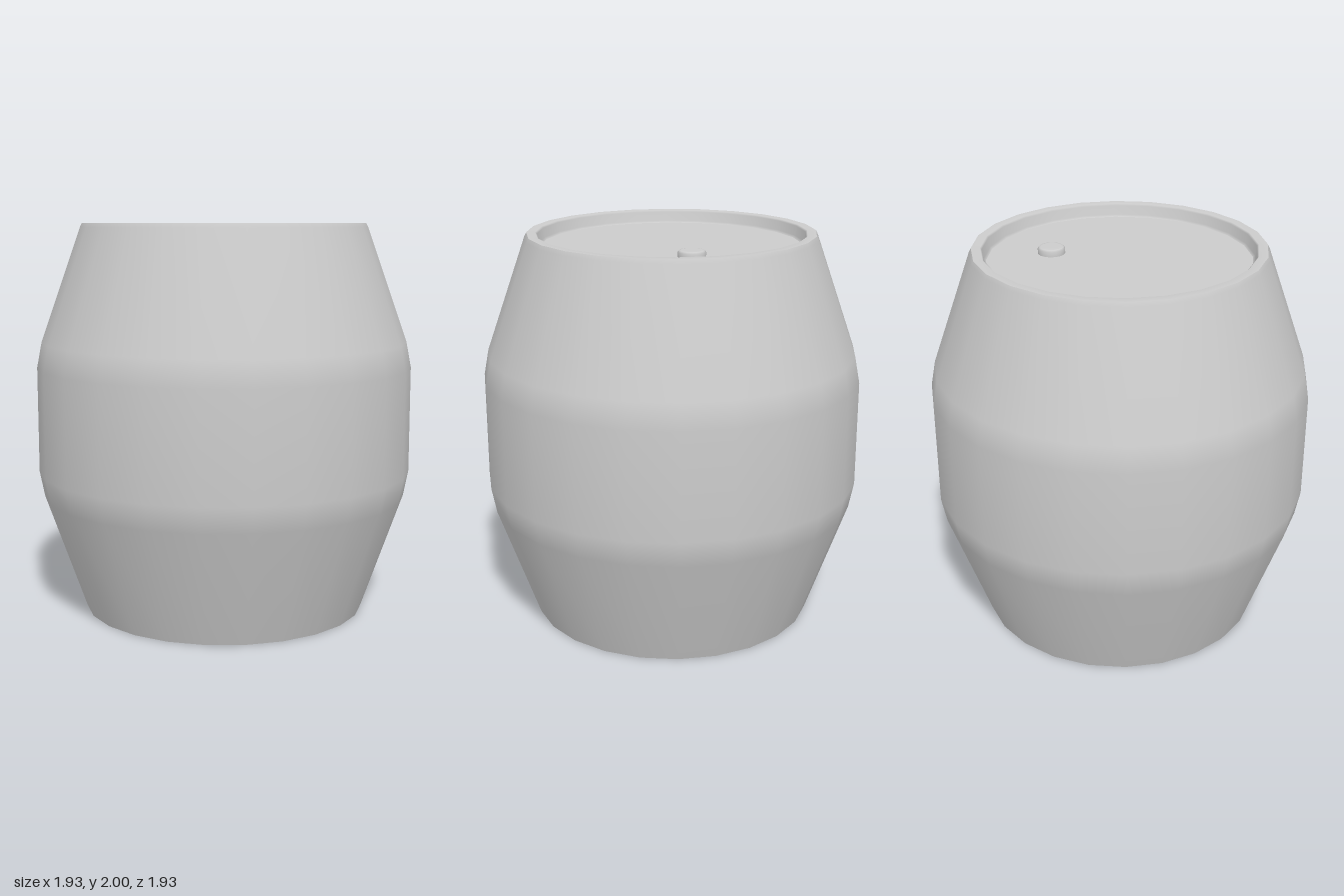
import * as THREE from 'three';

const material = new THREE.MeshStandardMaterial({ color: 0xcccccc, side: THREE.DoubleSide });

// Revolve a list of [radius, height] points around the y axis
function revolve(name, profile, sides) {
  const points = profile.map(([r, y]) => new THREE.Vector2(r, y));
  const mesh = new THREE.Mesh(new THREE.LatheGeometry(points, sides), material);
  mesh.name = name;
  return mesh;
}

export function createModel() {
  const model = new THREE.Group();
  model.name = 'barrel';

  // Bulging wall, open at the bottom
  model.add(revolve('wall', [
    [0.73, 0], [0.94, 0.6], [0.965, 0.73],
    [0.965, 1.27], [0.94, 1.4], [0.735, 1.98], [0.725, 2],
  ], 24));

  // Flat rim and the short step down to the lid
  model.add(revolve('rim', [
    [0.725, 2], [0.68, 2], [0.672, 1.992], [0.665, 1.945], [0.655, 1.935],
  ], 24));

  // Recessed lid
  model.add(revolve('lid', [[0.655, 1.935], [0.6, 1.935], [0, 1.935]], 24));

  // Small round plug near the back of the lid
  const plug = revolve('plug', [
    [0.068, 0], [0.068, 0.025], [0.06, 0.033], [0.05, 0.034], [0, 0.034],
  ], 20);
  plug.position.set(0.01, 1.935, -0.35);
  model.add(plug);

  return model;
}
